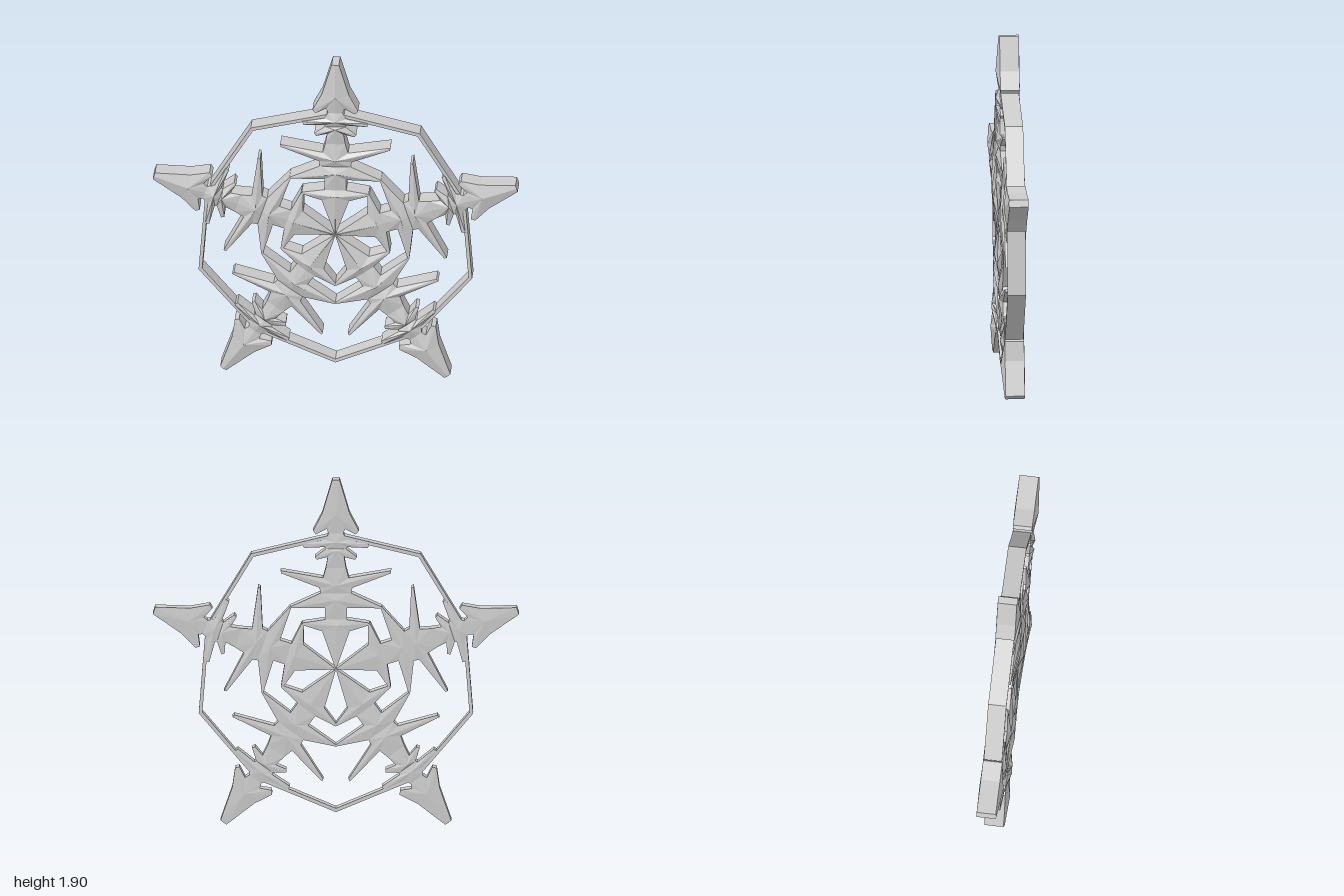
import * as THREE from 'three';

const EDGE = 0.045, VALLEY = 0.05, PEAK = 0.066; // front heights
const BACK = -0.06, BACK_PEAK = -0.066;
const CENTRE_Y = 0.86;

// One faceted cell of an arm: the right-hand outline is mirrored, then fanned
// to a raised point on the arm's axis, with straight side walls.
function cellGeometry(right, peakV, isTip) {
  const first = right[0], last = right[right.length - 1];
  const loop = [
    { u: 0, v: first[1], z: VALLEY, centre: true },
    ...right.map(([u, v]) => ({ u, v, z: EDGE })),
    { u: 0, v: last[1], z: VALLEY, centre: true, end: isTip },
    ...right.map(([u, v]) => ({ u: -u, v, z: EDGE })).reverse(),
  ];
  const positions = [];
  const tri = (...corners) => corners.forEach((c) => positions.push(...c));
  const front = (p) => [p.u, p.v, p.z];
  const back = (p) => [p.u, p.v, BACK];

  loop.forEach((p, i) => {
    const q = loop[(i + 1) % loop.length];
    tri([0, peakV, PEAK], front(p), front(q));
    tri([0, peakV, BACK_PEAK], back(q), back(p));
    const seam = (p.centre && !p.end) || (q.centre && !q.end);
    if (!seam) {
      tri(back(p), back(q), front(q));
      tri(back(p), front(q), front(p));
    }
  });
  const geometry = new THREE.BufferGeometry();
  geometry.setAttribute('position', new THREE.Float32BufferAttribute(positions, 3));
  geometry.computeVertexNormals();
  return geometry;
}

// Arm cells from the centre outward: [sideways, outward] outline points
const CELLS = [
  { name: 'innerSpikes', peak: 0.24,
    right: [[0.001, 0], [0.075, 0.21], [0.18, 0.243], [0.183, 0.256], [0.06, 0.275]] },
  { name: 'linkSpikes', peak: 0.38,
    right: [[0.06, 0.275], [0.06, 0.34], [0.247, 0.337], [0.25, 0.345], [0.085, 0.42]] },
  { name: 'longSpikes', peak: 0.46,
    right: [[0.085, 0.42], [0.09, 0.45], [0.3, 0.53], [0.302, 0.545], [0.07, 0.505], [0.055, 0.56]] },
  { name: 'smallBarbs', peak: 0.655,
    right: [[0.055, 0.56], [0.045, 0.62], [0.105, 0.605], [0.115, 0.62], [0.055, 0.665]] },
  { name: 'outerSpikes', peak: 0.7,
    right: [[0.055, 0.665], [0.06, 0.675], [0.175, 0.67], [0.18, 0.69], [0.06, 0.715], [0.04, 0.75]] },
  { name: 'arrowTip', peak: 0.85, tip: true,
    right: [[0.04, 0.75], [0.05, 0.775], [0.11, 0.745], [0.125, 0.765], [0.075, 0.86], [0.02, 1.045]] },
];

// Ten-sided outline whose corners alternate between arms and gaps
function ringPoints(armRadius, gapRadius) {
  return Array.from({ length: 10 }, (_, i) => {
    const a = Math.PI / 2 + (i * Math.PI) / 5;
    const r = i % 2 ? gapRadius : armRadius;
    return new THREE.Vector2(r * Math.cos(a), r * Math.sin(a));
  });
}

export function createModel() {
  const model = new THREE.Group();
  model.name = 'snowflake';
  const material = new THREE.MeshStandardMaterial({ color: 0xcccccc, flatShading: true });

  // Five arms sharing the same cells
  const cells = CELLS.map((c) => ({ name: c.name, geometry: cellGeometry(c.right, c.peak, c.tip) }));
  for (let i = 0; i < 5; i++) {
    const arm = new THREE.Group();
    arm.name = `arm${i + 1}`;
    for (const { name, geometry } of cells) {
      const mesh = new THREE.Mesh(geometry, material);
      mesh.name = name;
      arm.add(mesh);
    }
    arm.position.y = CENTRE_Y;
    arm.rotation.z = (i * Math.PI * 2) / 5;
    model.add(arm);
  }

  // Thin ring joining the arms
  const shape = new THREE.Shape(ringPoints(0.748, 0.788));
  shape.holes.push(new THREE.Path(ringPoints(0.728, 0.767)));
  const ringGeometry = new THREE.ExtrudeGeometry(shape, { depth: 0.1, bevelEnabled: false });
  const ring = new THREE.Mesh(ringGeometry, material);
  ring.name = 'ring';
  ring.position.set(0, CENTRE_Y, -0.059);
  model.add(ring);

  return model;
}
